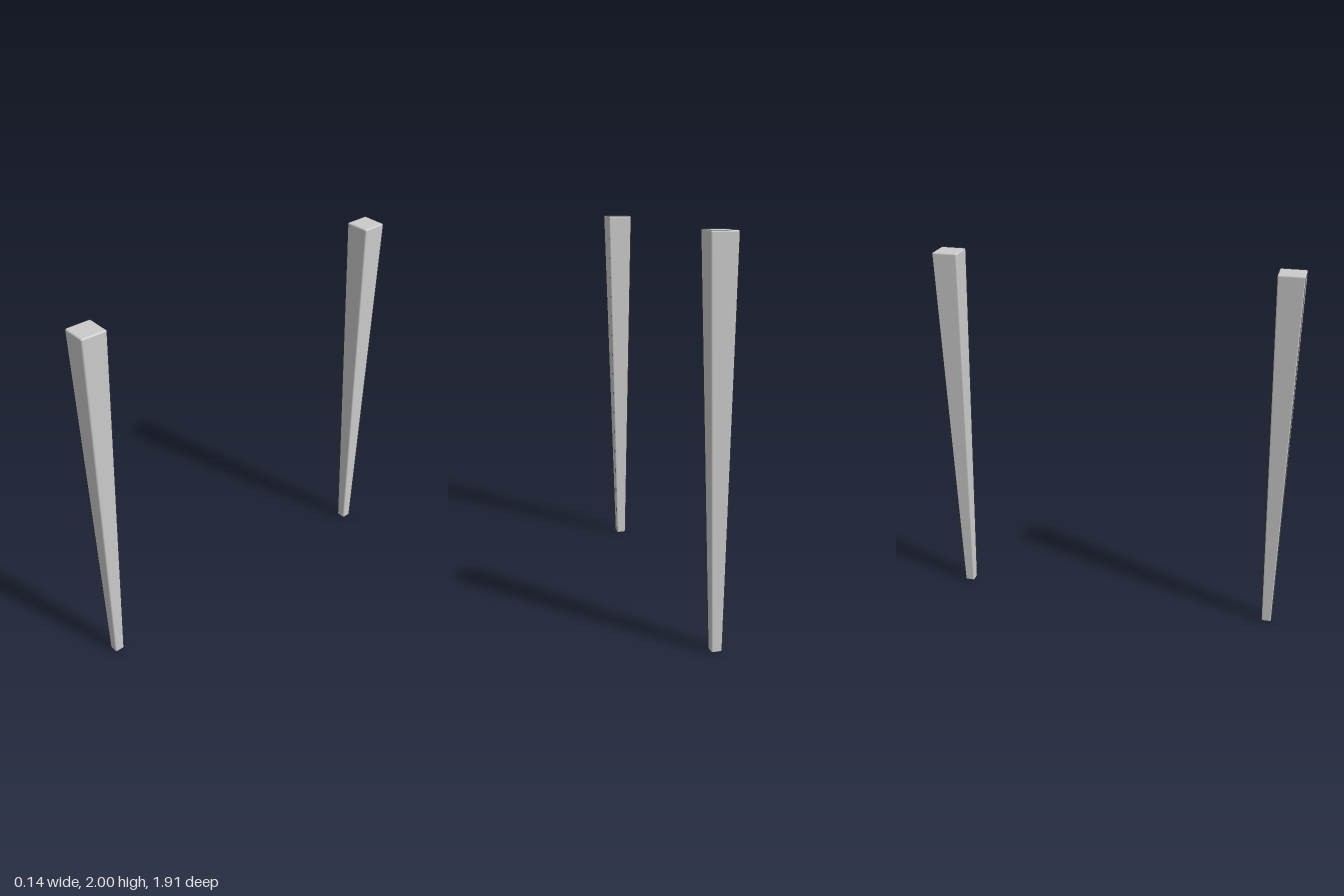
import * as THREE from 'three';
import { RoundedBoxGeometry } from 'three/addons/geometries/RoundedBoxGeometry.js';

const HEIGHT = 2, TOP_HALF = 0.069, FOOT_HALF = 0.028, BEVEL = 0.009, SPACING = 0.885;

// Square post with softened edges, narrowing evenly towards the foot
function taperedLegGeometry() {
  const geo = new RoundedBoxGeometry(TOP_HALF * 2, HEIGHT, TOP_HALF * 2, 2, BEVEL);
  geo.translate(0, HEIGHT / 2, 0);
  const p = geo.attributes.position;
  for (let i = 0; i < p.count; i++) {
    // shift each side inwards so the bevel keeps its width
    const inset = (TOP_HALF - FOOT_HALF) * (1 - p.getY(i) / HEIGHT);
    p.setX(i, p.getX(i) - Math.sign(p.getX(i)) * inset);
    p.setZ(i, p.getZ(i) - Math.sign(p.getZ(i)) * inset);
  }
  return geo;
}

export function createModel() {
  const model = new THREE.Group();
  model.name = 'legPair';
  const material = new THREE.MeshStandardMaterial({ color: 0xcccccc });
  const geometry = taperedLegGeometry();

  // One leg in front, one behind
  for (const [name, side] of [['frontLeg', 1], ['backLeg', -1]]) {
    const leg = new THREE.Mesh(geometry, material);
    leg.name = name;
    leg.position.z = side * SPACING;
    model.add(leg);
  }
  return model;
}
